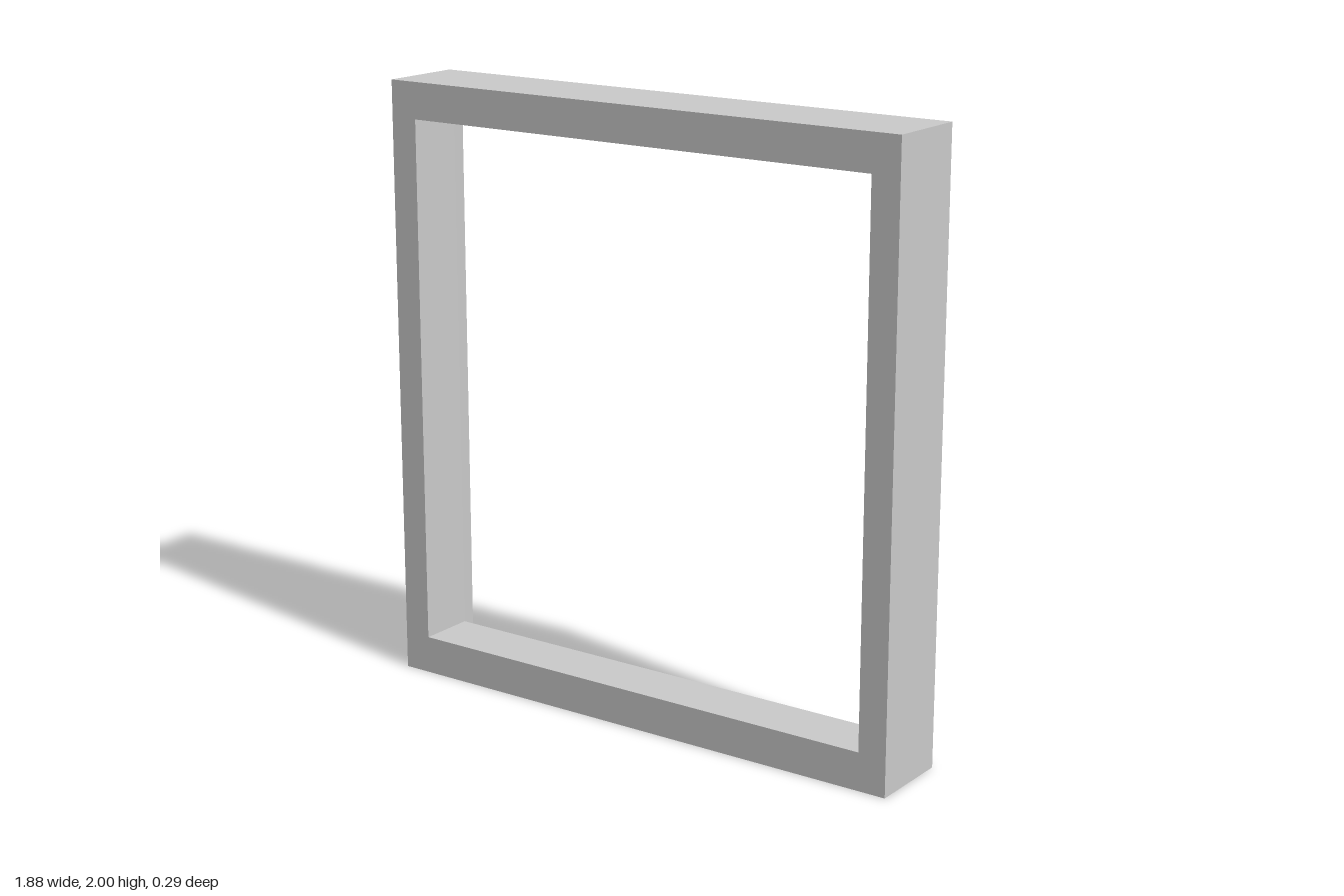
import * as THREE from 'three';

// Rectangular rings [half width, bottom y, top y, z], going round the moulding's section
const RINGS = [
  [0.94, 0, 2, 0.143],          // outer front edge
  [0.94, 0, 2, -0.143],         // outer back edge
  [0.85, 0.10, 1.915, -0.098],  // end of the hollowed back slope
  [0.845, 0.125, 1.88, -0.048], // start of the straight inner wall
  [0.845, 0.125, 1.88, 0.143],  // inner front edge
];

const corners = ([w, y0, y1, z]) => [[-w, y0, z], [w, y0, z], [w, y1, z], [-w, y1, z]];

// One rail: a mitred bar running along side i of the rings
function makeRail(name, i, material) {
  const j = (i + 1) % 4;
  const positions = [];
  RINGS.forEach((ring, r) => {
    const a = corners(ring);
    const b = corners(RINGS[(r + 1) % RINGS.length]);
    positions.push(...a[i], ...b[i], ...b[j], ...a[i], ...b[j], ...a[j]);
  });
  const geometry = new THREE.BufferGeometry();
  geometry.setAttribute('position', new THREE.Float32BufferAttribute(positions, 3));
  geometry.computeVertexNormals();
  const rail = new THREE.Mesh(geometry, material);
  rail.name = name;
  return rail;
}

export function createModel() {
  const group = new THREE.Group();
  group.name = 'frame';
  const material = new THREE.MeshStandardMaterial({ color: 0xcccccc, flatShading: true });
  ['bottomRail', 'leftRail', 'topRail', 'rightRail'].forEach((name, i) =>
    group.add(makeRail(name, i, material)));
  return group;
}
